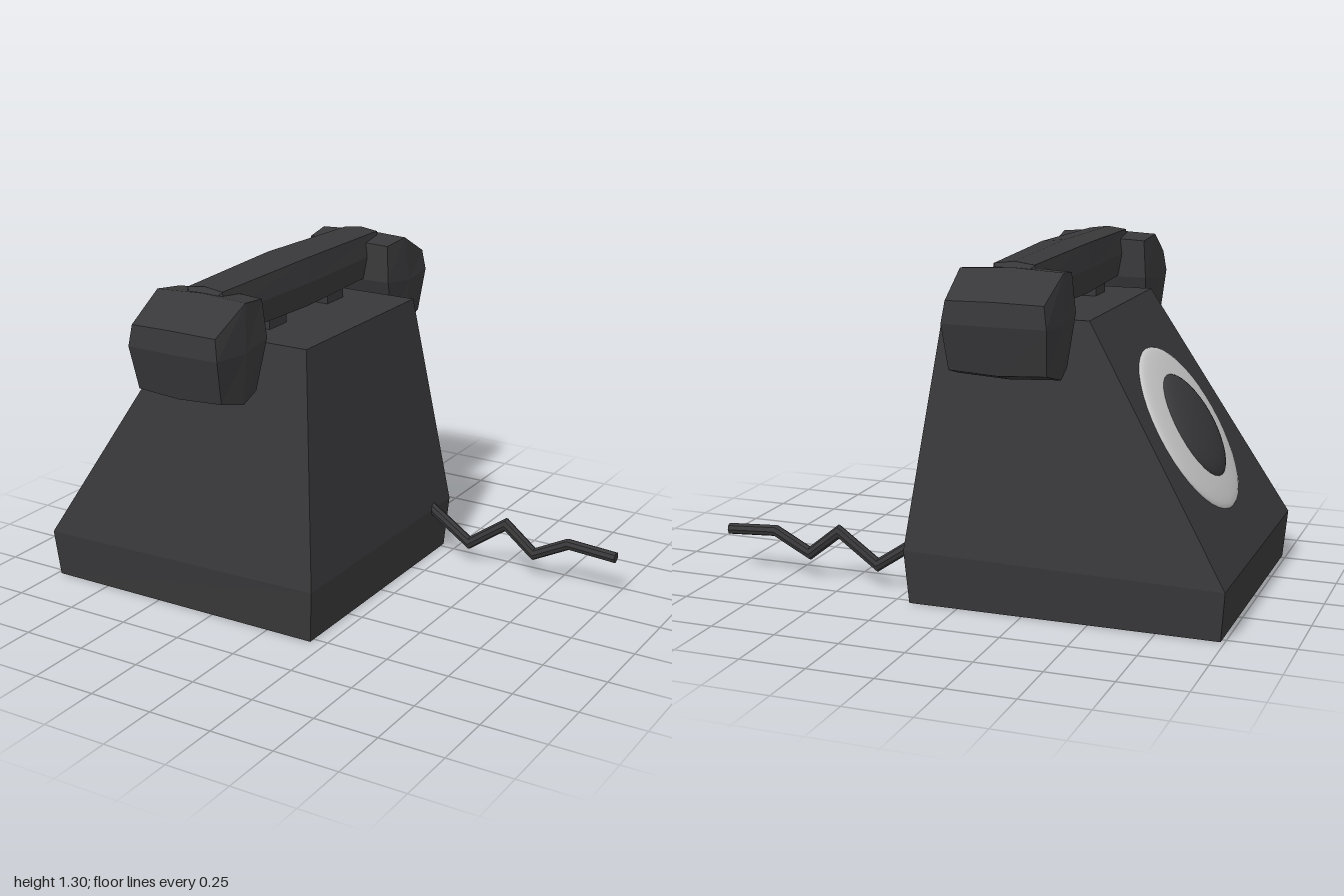
import * as THREE from 'three';

const dark = new THREE.MeshStandardMaterial({ color: 0x38383a, flatShading: true });
const darkSmooth = new THREE.MeshStandardMaterial({ color: 0x38383a });
const grey = new THREE.MeshStandardMaterial({ color: 0xcccccc });

function part(name, geometry, material = dark) {
  const mesh = new THREE.Mesh(geometry, material);
  mesh.name = name;
  return mesh;
}

// Moves every vertex of a geometry by a rule (x, y, z) => [x, y, z]
function reshape(geometry, rule) {
  const p = geometry.attributes.position;
  for (let i = 0; i < p.count; i++) p.setXYZ(i, ...rule(p.getX(i), p.getY(i), p.getZ(i)));
  geometry.computeVertexNormals();
  return geometry;
}

// Wedge-shaped body: sections at bottom, widest line and top
function makeBody() {
  const levels = [
    { left: -0.985, right: 0.19, yl: 0, yr: 0, z: 0.525 },
    { left: -1, right: 0.205, yl: 0.185, yr: 0.205, z: 0.54 },
    { left: -0.455, right: 0.1, yl: 1.075, yr: 1.075, z: 0.395 },
  ];
  return part('body', reshape(new THREE.BoxGeometry(2, 2, 2, 1, 2, 1), (x, y, z) => {
    const s = levels[Math.round(y) + 1];
    return [x < 0 ? s.left : s.right, x < 0 ? s.yl : s.yr, z * s.z];
  }));
}

// Flattened plate and dome lying on the sloping face
function makeDial() {
  const dial = new THREE.Group();
  dial.name = 'dial';
  const plate = part('dialPlate', new THREE.SphereGeometry(1, 40, 20), grey);
  plate.scale.set(0.333, 0.035, 0.338);
  const knob = part('dialCentre', new THREE.SphereGeometry(1, 32, 20), darkSmooth);
  knob.scale.set(0.212, 0.048, 0.197);
  knob.position.set(0, 0.022, -0.016);
  dial.add(plate, knob);
  dial.position.set(-0.727, 0.631, -0.013);
  dial.rotation.z = Math.atan2(0.89, 0.545);
  return dial;
}

// Faceted cup: [z, y] profile by height (bottom to top) and depth (inner to outer)
function makeCup(name) {
  const profile = [
    [[0.49, 0.915], [0.595, 0.89], [0.72, 0.925]],
    [[0.43, 1.11], [0.59, 1.09], [0.76, 1.1]],
    [[0.443, 1.262], [0.57, 1.277], [0.75, 1.183]],
  ];
  return part(name, reshape(new THREE.BoxGeometry(2, 2, 2, 2, 2, 2), (x, y, z) => {
    const [pz, py] = profile[Math.round(y) + 1][Math.round(z) + 1];
    const shrink = 1 - 0.05 * Math.abs(x);
    const halfWidth = 0.202 - 0.012 * (Math.abs(y) + Math.abs(z));
    return [x * halfWidth, 1.09 + (py - 1.09) * shrink, 0.59 + (pz - 0.59) * shrink];
  }));
}

// Bar bulging slightly in the middle, with chamfered ends
function makeBar() {
  const zStops = [0, 0.545, 0.57];
  return part('handle', reshape(new THREE.BoxGeometry(2, 2, 4, 2, 2, 4), (x, y, z) => {
    const k = Math.round(Math.abs(z));
    const halfWidth = [0.103, 0.088, 0.06][k] - 0.013 * Math.abs(y);
    const top = [1.305, 1.295, 1.265][k] - 0.01 * Math.abs(x);
    const bottom = [1.107, 1.115, 1.13][k];
    return [x * halfWidth, THREE.MathUtils.lerp(bottom, top, (y + 1) / 2), Math.sign(z) * zStops[k]];
  }));
}

function makeHandset() {
  const handset = new THREE.Group();
  handset.name = 'handset';
  const frontCup = makeCup('frontCup');
  const backCup = makeCup('backCup');
  backCup.rotation.y = Math.PI;
  handset.add(makeBar(), frontCup, backCup);
  // Cradle blocks under the bar
  for (const z of [0.197, -0.213]) {
    const block = part('cradleBlock', new THREE.BoxGeometry(0.16, 0.07, 0.115));
    block.position.set(0, 1.09, z);
    handset.add(block);
  }
  handset.position.set(-0.23, 0, -0.003);
  return handset;
}

// Zigzag cord with mitred joints
function makeCord() {
  const path = [[0.17, 0.225], [0.37, 0.09], [0.53, 0.205], [0.655, 0.105], [0.8, 0.18], [1, 0.168]]
    .map(([x, y]) => new THREE.Vector2(x, y));
  const normals = path.slice(1).map((p, i) => {
    const d = p.clone().sub(path[i]).normalize();
    return new THREE.Vector2(-d.y, d.x);
  });
  const mitres = path.map((_, i) => {
    const a = normals[Math.max(i - 1, 0)], b = normals[Math.min(i, normals.length - 1)];
    const m = a.clone().add(b).normalize();
    return m.divideScalar(m.dot(a));
  });
  const n = path.length - 1;
  return part('cord', reshape(new THREE.CylinderGeometry(0.022, 0.022, 1, 8, n), (x, y, z) => {
    const i = Math.round((0.5 - y) * n);
    return [path[i].x + mitres[i].x * x, path[i].y + mitres[i].y * x, z - 0.405];
  }));
}

export function createModel() {
  const model = new THREE.Group();
  model.name = 'telephone';
  model.add(makeBody(), makeDial(), makeHandset(), makeCord());
  return model;
}
